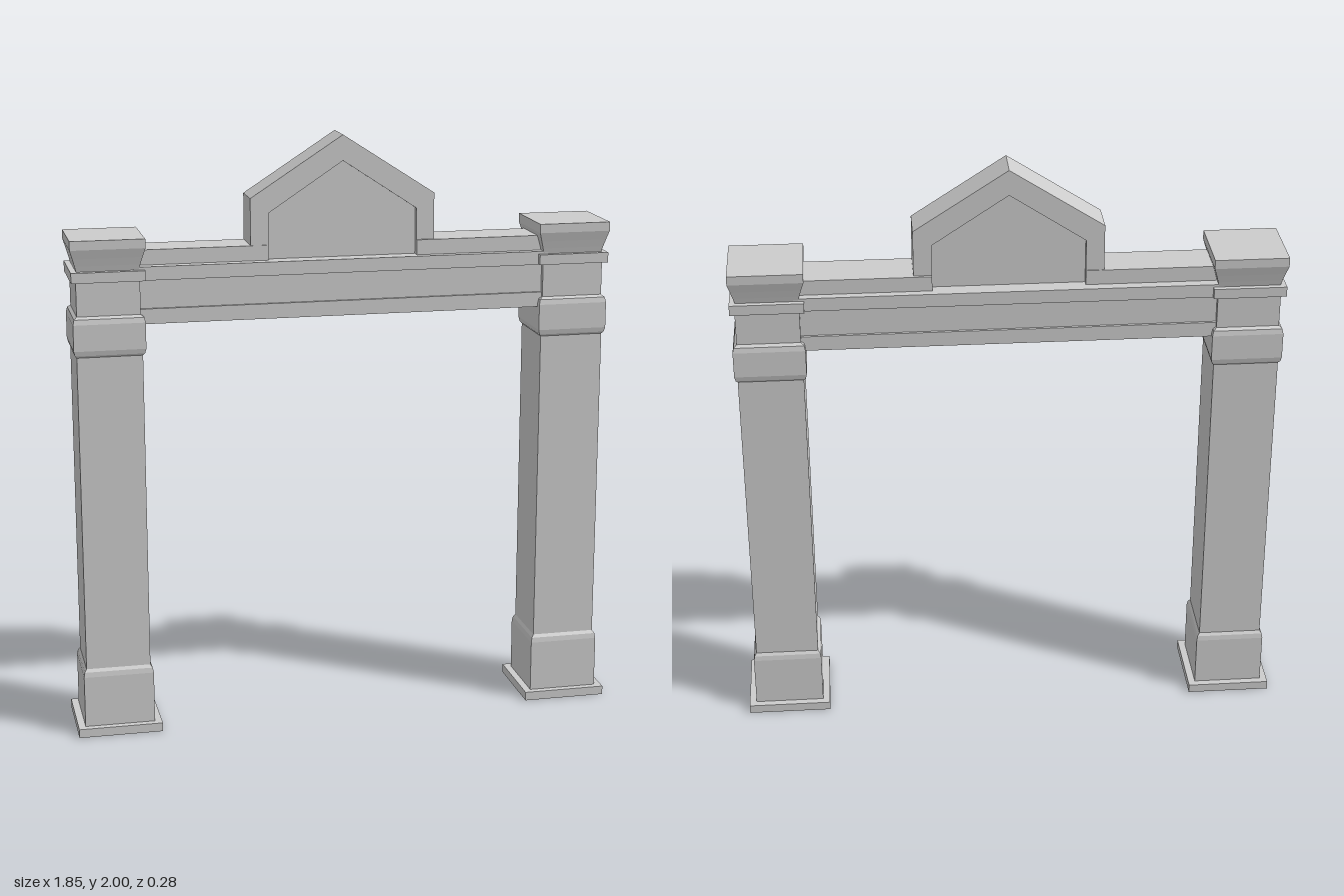
import * as THREE from 'three';

const material = new THREE.MeshStandardMaterial({ color: 0xcccccc, flatShading: true, side: THREE.DoubleSide });

function addMesh(parent, name, geometry) {
  const mesh = new THREE.Mesh(geometry, material);
  mesh.name = name;
  parent.add(mesh);
  return mesh;
}

// Box given by its x range, y range and half depth
function addBox(parent, name, x0, x1, y0, y1, halfDepth) {
  const mesh = addMesh(parent, name, new THREE.BoxGeometry(x1 - x0, y1 - y0, 2 * halfDepth));
  mesh.position.set((x0 + x1) / 2, (y0 + y1) / 2, 0);
}

// Outline extruded evenly to both sides of z = 0
function addSlab(parent, name, points, halfDepth) {
  const shape = new THREE.Shape(points.map(([x, y]) => new THREE.Vector2(x, y)));
  const geometry = new THREE.ExtrudeGeometry(shape, { depth: 2 * halfDepth, bevelEnabled: false });
  addMesh(parent, name, geometry.translate(0, 0, -halfDepth));
}

// Square hollow shell from [half width, height] pairs, open at the bottom
function squareLathe(profile) {
  const points = profile.map(([r, y]) => new THREE.Vector2(r * Math.SQRT2, y));
  return new THREE.LatheGeometry(points, 4).rotateY(Math.PI / 4);
}

export function createModel() {
  const gate = new THREE.Group();
  gate.name = 'gateway';

  const pillarProfile = [
    // foot plate
    [0.142, 0], [0.142, 0.03], [0.118, 0.03],
    // plinth
    [0.118, 0.205], [0.115, 0.222], [0.108, 0.232],
    // shaft and collar
    [0.108, 1.305], [0.114, 1.312], [0.118, 1.328],
    [0.118, 1.415], [0.114, 1.432], [0.104, 1.44],
    // neck and ring
    [0.104, 1.552], [0.12, 1.552], [0.12, 1.586], [0.101, 1.586],
    // flared capital
    [0.106, 1.605], [0.113, 1.63], [0.122, 1.66], [0.122, 1.69], [0, 1.69],
  ];
  const pillarGeometry = squareLathe(pillarProfile);
  for (const side of [-1, 1]) {
    const pillar = addMesh(gate, side > 0 ? 'leftPillar' : 'rightPillar', pillarGeometry);
    pillar.position.x = side * 0.785;
  }

  // Crossbeam: stacked bands with a recessed frieze
  const beam = new THREE.Group();
  beam.name = 'crossbeam';
  gate.add(beam);
  addBox(beam, 'lowerBand', -0.7, 0.7, 1.405, 1.455, 0.095);
  addBox(beam, 'frieze', -0.7, 0.7, 1.455, 1.55, 0.086);
  addBox(beam, 'cornice', -0.7, 0.7, 1.55, 1.595, 0.102);

  // Low parapet on both sides of the gable
  addBox(gate, 'rightParapet', -0.7, -0.25, 1.595, 1.645, 0.068);
  addBox(gate, 'leftParapet', 0.25, 0.7, 1.595, 1.645, 0.075);

  // Gable: raised frame around a recessed panel
  const gable = new THREE.Group();
  gable.name = 'gable';
  gate.add(gable);
  const opening = [[0.25, 1.595], [0.25, 1.75], [0, 1.915], [-0.25, 1.75], [-0.25, 1.595]];
  addSlab(gable, 'gableFrame', [
    [-0.31, 1.595], [-0.31, 1.8], [0, 2], [0.31, 1.8], [0.31, 1.595], ...opening,
  ], 0.065);
  addSlab(gable, 'gablePanel', opening, 0.045);

  return gate;
}
